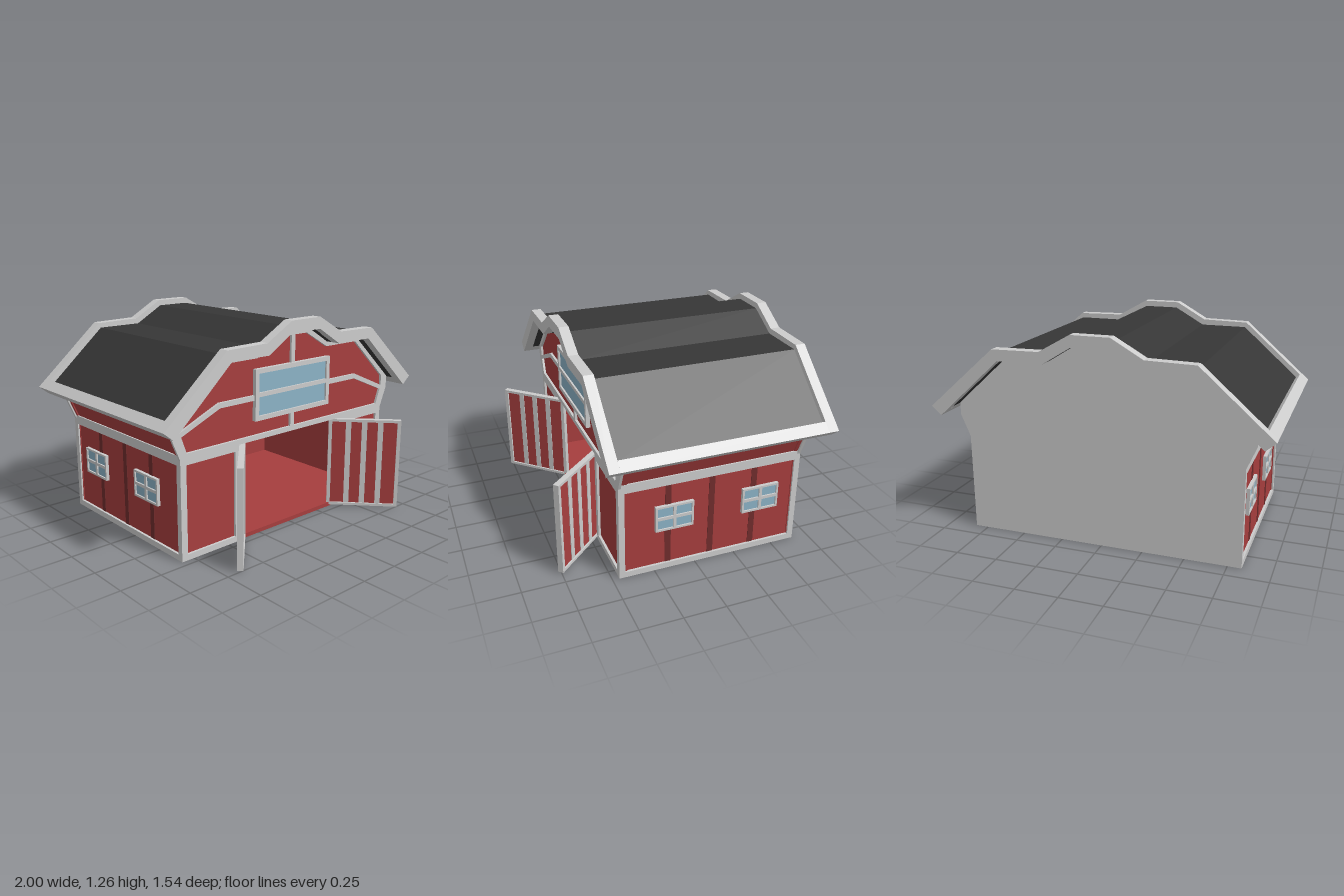
import * as THREE from 'three';

const mat = (color) => new THREE.MeshStandardMaterial({ color, flatShading: true });

export function createModel() {
  const barn = new THREE.Group();
  const grey = mat(0xcccccc), red = mat(0xa63e3e), darkRed = mat(0x702d2d);
  const roofMat = mat(0x363636), glass = mat(0x8bb2c6);

  const add = (parent, name, geometry, material, x = 0, y = 0, z = 0) => {
    const mesh = new THREE.Mesh(geometry, material);
    mesh.name = name;
    mesh.position.set(x, y, z);
    parent.add(mesh);
    return mesh;
  };
  const box = (parent, name, material, w, h, d, x, y, z) =>
    add(parent, name, new THREE.BoxGeometry(w, h, d), material, x, y, z);
  const vec = (pts) => pts.map(([x, y]) => new THREE.Vector2(x, y));
  const flip = (pts, s) => pts.map(([x, y]) => [x * s, y]);
  const rect = (x0, y0, x1, y1) => [[x0, y0], [x1, y0], [x1, y1], [x0, y1]];
  // Closed outline from a right half running bottom to top
  const mirrored = (half) => [...half, ...flip(half, -1).reverse()];
  const extrude = (pts, depth, holes = []) => {
    const shape = new THREE.Shape(vec(pts));
    shape.holes = holes.map((h) => new THREE.Path(vec(h)));
    return new THREE.ExtrudeGeometry(shape, { depth, bevelEnabled: false });
  };

  // Window with a frame, sunk panes on a cols x 2 grid, facing +z
  const makeWindow = (name, w, h, cols, edge, bar, depth) => {
    const g = new THREE.Group();
    g.name = name;
    const pw = (w - 2 * edge - (cols - 1) * bar) / cols, ph = (h - 2 * edge - bar) / 2;
    const holes = [];
    for (let c = 0; c < cols; c++) for (let r = 0; r < 2; r++) {
      const x = -w / 2 + edge + c * (pw + bar), y = -h / 2 + edge + r * (ph + bar);
      holes.push(rect(x, y, x + pw, y + ph));
    }
    add(g, name + 'Frame', extrude(rect(-w / 2, -h / 2, w / 2, h / 2), depth, holes), grey);
    box(g, name + 'Glass', glass, w - edge, h - edge, depth * 0.5, 0, 0, depth * 0.3);
    barn.add(g);
    return g;
  };

  // Gable walls; the front has a doorway notch
  const gable = [[0.83, 0], [0.83, 0.585], [0.885, 0.715], [0.885, 0.8], [0.56, 1.1], [0.285, 1.1], [0.115, 1.205]];
  const doorway = [[0.41, 0.585], [0.41, 0]];
  const frontOutline = mirrored([...doorway, ...gable]);
  const inset = [[0.82, 0], [0.82, 0.585], [0.875, 0.715], [0.875, 0.8], ...gable.slice(4)];
  add(barn, 'frontWall', extrude(mirrored([...doorway, ...inset]), 0.035), red, 0, 0, 0.41);
  add(barn, 'backWall', extrude(mirrored(gable), 0.02), grey, 0, 0, -0.65);
  add(barn, 'backWallLining', extrude(mirrored(inset), 0.02), red, 0, 0, -0.63);

  // Front timber frame, with openings that show the red boards
  const openings = [];
  for (const s of [1, -1]) {
    openings.push(
      flip(rect(0.445, 0.035, 0.79, 0.55), s),
      flip([[0.015, 0.615], [0.785, 0.615], [0.82, 0.71], [0.555, 0.82], [0.29, 0.82], [0.29, 0.715], [0.015, 0.715]], s),
      flip([[0.015, 0.985], [0.29, 0.985], [0.29, 0.85], [0.56, 0.85], [0.83, 0.735], [0.83, 0.8],
        [0.55, 1.06], [0.285, 1.06], [0.11, 1.162], [0.015, 1.162]], s),
    );
  }
  add(barn, 'frontFrame', extrude(frontOutline, 0.015, openings), grey, 0, 0, 0.445);
  makeWindow('loftWindow', 0.61, 0.3, 1, 0.027, 0.025, 0.025).position.set(0, 0.85, 0.447);

  box(barn, 'floor', red, 1.65, 0.025, 1.09, 0, 0.0125, -0.095);

  // Side walls, flared under the eaves
  const sideSection = [[0.815, 0], [0.815, 0.59], [0.87, 0.72], [0.87, 0.81], [0.84, 0.83], [0.84, 0.72], [0.785, 0.59], [0.785, 0]];
  for (const s of [1, -1]) {
    add(barn, 'sideWall', extrude(flip(sideSection, s), 1.07), red, 0, 0, -0.635);
    const frame = add(barn, 'sideFrame',
      extrude(rect(-0.46, 0, 0.65, 0.605), 0.017, [rect(-0.425, 0.035, 0.615, 0.55)]), grey, s * 0.8215 - 0.0085);
    frame.rotation.y = Math.PI / 2;
    for (const z of [0.165, -0.1, -0.365])
      box(barn, 'sideBatten', darkRed, 0.006, 0.52, 0.036, s * 0.815, 0.293, z);
    for (const z of [0.13, -0.405]) {
      const w = makeWindow('sideWindow', 0.23, 0.16, 2, 0.012, 0.018, 0.02);
      w.position.set(s * 0.815, 0.34, z);
      w.rotation.y = s * Math.PI / 2;
    }
  }

  // Roof slab with raised rake boards and eave boards
  const under = [[0.94, 0.74], [0.555, 1.09], [0.285, 1.09], [0.115, 1.195]];
  const rakeTop = [[1, 0.79], [0.585, 1.155], [0.3, 1.16], [0.115, 1.265]];
  const slabUnder = [[0.89, 0.785], ...under.slice(1)];
  const slabTop = [[0.93, 0.812], [0.575, 1.125], [0.29, 1.125], [0.105, 1.23]];
  // Band between an upper and a lower half profile
  const band = (top, low) => [...top, ...flip(top, -1).reverse(), ...flip(low, -1), ...[...low].reverse()];
  add(barn, 'roof', extrude(band(slabTop, slabUnder), 1.22), roofMat, 0, 0, -0.715);
  for (const z of [0.5, -0.77]) add(barn, 'rakeBoard', extrude(band(rakeTop, under), 0.06), grey, 0, 0, z);
  for (const s of [1, -1])
    add(barn, 'eaveBoard',
      extrude(flip([[1, 0.79], [0.95, 0.835], [0.89, 0.785], [0.94, 0.74]], s), 1.21), grey, 0, 0, -0.71);

  // Open doors with frames and battens on both faces
  const doorW = 0.45, doorH = 0.575;
  for (const s of [1, -1]) {
    const door = new THREE.Group();
    door.name = s > 0 ? 'leftDoor' : 'rightDoor';
    add(door, 'doorFrame', extrude(rect(-doorW / 2, -doorH / 2, doorW / 2, doorH / 2), 0.034,
      [rect(-doorW / 2 + 0.022, -doorH / 2 + 0.016, doorW / 2 - 0.022, doorH / 2 - 0.016)]), grey, 0, 0, -0.017);
    box(door, 'doorPanel', red, doorW - 0.03, doorH - 0.02, 0.012, 0, 0, 0);
    for (const x of [-0.1, 0, 0.1])
      box(door, 'doorBatten', grey, 0.034, doorH - 0.02, 0.02, x, 0, 0);
    door.position.set(s * 0.517, 0.01 + doorH / 2, 0.592);
    door.rotation.y = -s * 0.82;
    barn.add(door);
  }

  return barn;
}
